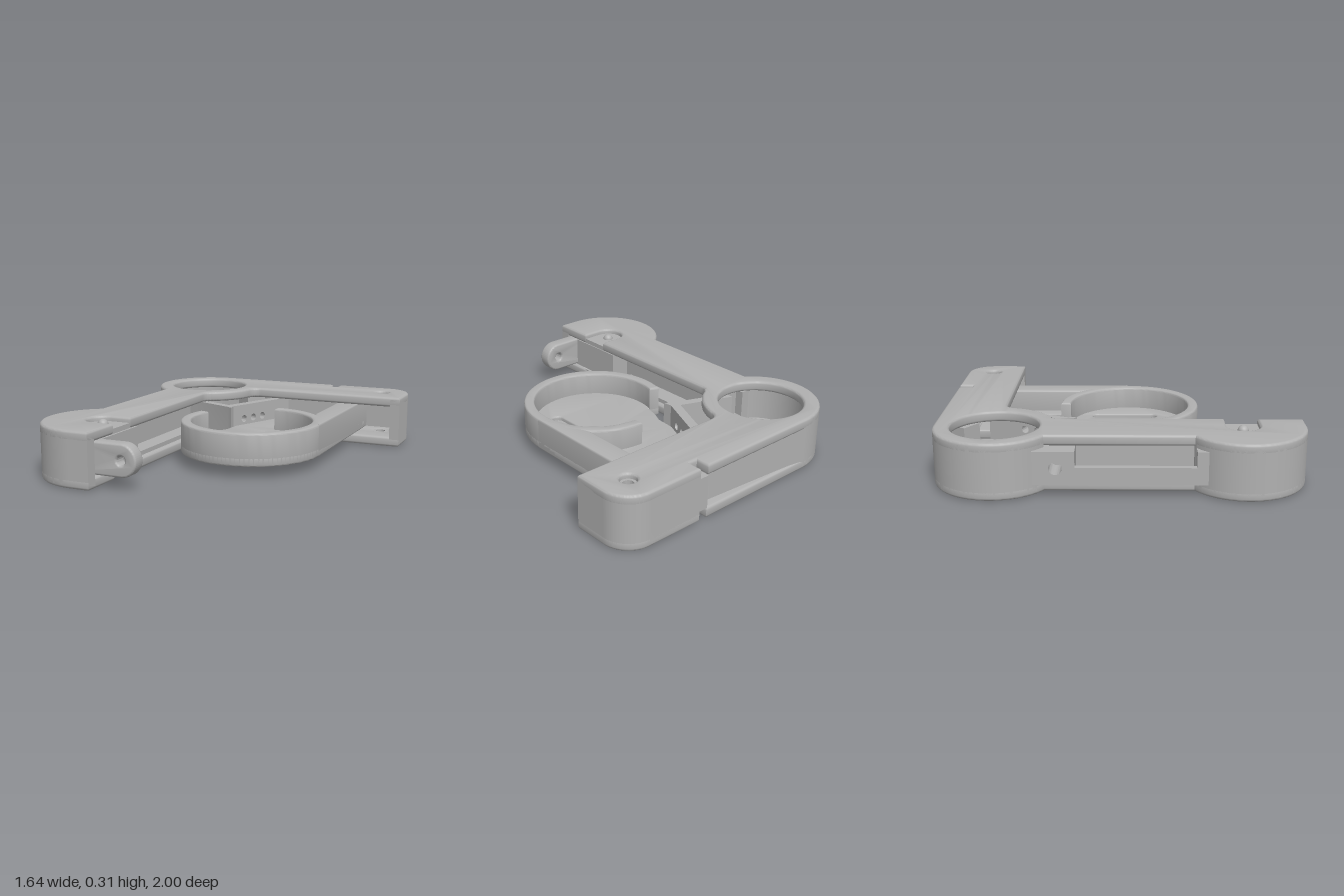
import * as THREE from 'three';
import { toCreasedNormals } from 'three/addons/utils/BufferGeometryUtils.js';

const PI = Math.PI;

export function createModel() {
  const model = new THREE.Group();
  const grey = new THREE.MeshStandardMaterial({ color: 0xb0b0b0 });
  grey.name = 'plain grey';

  const add = (name, geo, x = 0, y = 0, z = 0) => {
    const m = new THREE.Mesh(geo, grey);
    m.name = name;
    m.position.set(x, y, z);
    model.add(m);
    return m;
  };
  const extrude = (shape, depth, b) => toCreasedNormals(new THREE.ExtrudeGeometry(shape, {
    depth: depth - 2 * b, bevelEnabled: b > 0, bevelSize: b, bevelThickness: b,
    bevelOffset: -b, bevelSegments: 3, curveSegments: 40,
  }).translate(0, 0, b), 0.6);
  // Plan shapes are drawn in (x, -z) and raised from y0 to y1
  const slab = (name, shape, y0, y1, b = 0) =>
    add(name, extrude(shape, y1 - y0, b).rotateX(-PI / 2), 0, y0, 0);
  const box = (name, x0, x1, y0, y1, z0, z1) =>
    add(name, new THREE.BoxGeometry(x1 - x0, y1 - y0, z1 - z0), (x0 + x1) / 2, (y0 + y1) / 2, (z0 + z1) / 2);
  const poly = (pts) => new THREE.Shape(pts.map(([x, y]) => new THREE.Vector2(x, y)));
  const circle = (x, y, r) => new THREE.Path().absarc(x, y, r, 0, 2 * PI, false);
  const capsule = (x, y0, y1, r) => {
    const p = new THREE.Path();
    p.absarc(x, y1 - r, r, 0, PI, false);
    p.absarc(x, y0 + r, r, PI, 2 * PI, false);
    p.closePath();
    return p;
  };

  // Frame plates: L outline with ring, notch and pin recess
  const plate = new THREE.Shape();
  plate.moveTo(0.82, 0.65);
  plate.lineTo(0.82, 0.84);
  plate.absarc(0.66, 0.84, 0.16, 0, PI / 2, false);
  plate.lineTo(0.325, 1);
  plate.lineTo(0.325, 0.92);
  plate.lineTo(0.275, 0.92);
  plate.lineTo(0.275, 1);
  plate.absarc(-0.49, 0.67, 0.33, PI / 2, 4.135, false);
  plate.absarc(-0.49, -0.67, 0.33, 2.148, 1.5 * PI, false);
  plate.lineTo(-0.37, -1);
  plate.lineTo(-0.37, -0.75);
  plate.absarc(-0.49, -0.66, 0.09, -PI / 2, PI / 2, true);
  plate.lineTo(-0.37, -0.57);
  plate.lineTo(-0.37, 0.32);
  plate.quadraticCurveTo(-0.37, 0.36, -0.34, 0.376);
  plate.absarc(-0.49, 0.67, 0.33, -1.1, -0.2, false);
  plate.quadraticCurveTo(-0.15, 0.65, -0.1, 0.65);
  plate.closePath();
  plate.holes.push(circle(-0.49, 0.67, 0.24), circle(0.655, 0.835, 0.045));

  const washer = new THREE.Shape().absarc(0.655, 0.835, 0.055, 0, 2 * PI, false);
  washer.holes.push(circle(0.655, 0.835, 0.03));

  for (const [side, y0, y1, f0, f1, pinY] of [
    ['lower', 0, 0.06, 0.03, 0.058, 0.03],
    ['upper', 0.25, 0.31, 0.252, 0.28, 0.28],
  ]) {
    slab(side + 'FramePlate', plate, y0, y1, 0.015);
    slab(side + 'ScrewSeat', washer, f0, f1);
    box(side + 'RecessFloor', -0.595, -0.375, f0, f1, 0.56, 0.76);
    add(side + 'HingePin', new THREE.SphereGeometry(0.03, 24, 16), -0.49, pinY, 0.66);
  }

  // Frame walls between the plates
  const ringWall = new THREE.Shape();
  ringWall.moveTo(0.275, 1);
  ringWall.absarc(-0.49, 0.67, 0.33, PI / 2, 4.135, false);
  ringWall.absarc(-0.49, 0.67, 0.27, 4.135, PI / 2, true);
  ringWall.lineTo(0.275, 0.94);
  slab('ringWall', ringWall, 0.015, 0.295);

  const endWall = poly([[0.325, 1], [0.325, 0.94], [0.76, 0.94], [0.76, 0.65], [0.82, 0.65], [0.82, 0.84]]);
  endWall.absarc(0.66, 0.84, 0.16, 0, PI / 2, false);
  slab('endWall', endWall, 0.015, 0.295);
  box('notchWall', 0.27, 0.33, 0.06, 0.25, -1, -0.94);

  const footWall = new THREE.Shape();
  footWall.absarc(-0.49, -0.67, 0.33, 2.148, 1.5 * PI, false);
  footWall.lineTo(-0.37, -1);
  footWall.lineTo(-0.37, -0.935);
  footWall.lineTo(-0.61, -0.935);
  footWall.lineTo(-0.61, -0.393);
  slab('footWall', footWall, 0.015, 0.295);

  // Long arm folded into the leg: channel with a low outer lip
  box('longArmFloor', -0.75, -0.39, 0.065, 0.09, -0.44, 0.44);
  box('longArmSpine', -0.6, -0.5, 0.065, 0.245, -0.4, 0.6);
  box('longArmLip', -0.75, -0.715, 0.065, 0.16, -0.23, 0.4);
  box('longArmStop', -0.75, -0.58, 0.065, 0.245, 0.4, 0.46);
  const endPlate = poly([[0.23, 0.065], [0.45, 0.065], [0.45, 0.245], [0.23, 0.245]]);
  endPlate.holes.push(circle(0.33, 0.155, 0.035));
  const armEnd = add('longArmEnd', extrude(endPlate, 0.16, 0), -0.59, 0, 0);
  armEnd.rotation.y = -PI / 2;
  // Turned so the plate lies along -z and is thick towards -x
  armEnd.geometry.scale(-1, 1, 1).rotateY(0);
  const idx = armEnd.geometry.attributes;
  for (const key of ['position', 'normal']) {
    const a = idx[key];
    for (let i = 0; i < a.count; i += 3) {
      const p = new THREE.Vector3().fromBufferAttribute(a, i);
      const q = new THREE.Vector3().fromBufferAttribute(a, i + 2);
      a.setXYZ(i, q.x, q.y, q.z);
      a.setXYZ(i + 2, p.x, p.y, p.z);
    }
  }

  // Hinged clip at the foot with a rounded, drilled tab
  box('clipBody', -0.6, -0.38, 0.065, 0.245, 0.48, 0.9);
  const tab = poly([[-0.5, 0.25], [-0.5, 0.07]]);
  tab.absarc(-0.22, 0.16, 0.09, -PI / 2, PI / 2, false);
  tab.holes.push(circle(-0.22, 0.16, 0.025));
  add('clipTab', extrude(tab, 0.08, 0.012), 0, 0, 0.85);

  // Cup arm: slotted floor, open rim and solid side bar
  const floor = poly([[0, 0.85], [0.54, 0.85], [0.54, -0.05]]);
  floor.absarc(0.13, -0.05, 0.41, 0, 2.82, true);
  floor.lineTo(-0.2, 0.06);
  floor.quadraticCurveTo(-0.19, 0.13, -0.15, 0.2);
  floor.lineTo(-0.14, 0.32);
  floor.lineTo(0, 0.65);
  floor.holes.push(capsule(0.3, 0.355, 0.565, 0.035), capsule(0.3, -0.22, 0.175, 0.035));
  slab('cupFloor', floor, 0.065, 0.12, 0.01);
  box('slotStep', 0.25, 0.35, 0.075, 0.095, 0.01, 0.24);

  const rim = new THREE.Shape();
  rim.absarc(0.13, -0.05, 0.41, 2.82, 2.5 * PI, false);
  rim.absarc(0.13, -0.05, 0.35, 2.5 * PI, 2.82, true);
  rim.closePath();
  slab('cupRim', rim, 0.065, 0.25, 0.012);
  slab('cupSideBar', poly([[0.54, -0.05], [0.54, 0.9], [0.41, 0.9], [0.41, 0.255], [0.5, 0]]), 0.065, 0.25, 0.012);

  // Bent link wall from the ring to the cup arm
  slab('linkWall', poly([[-0.5, 0.45], [-0.2, 0.335], [-0.15, 0.33], [-0.14, 0.25], [-0.17, 0.27], [-0.5, 0.4]]), 0.065, 0.245);
  slab('linkKnuckle', poly([[-0.36, 0.86], [-0.26, 0.79], [-0.18, 0.9], [-0.3, 0.94]]), 0.065, 0.245);
  const panel = poly([[0, 0], [0.5, 0], [0.5, 0.18], [0, 0.18]]);
  for (const x of [0.1, 0.18, 0.26]) panel.holes.push(circle(x, 0.09, 0.022));
  add('drilledPanel', extrude(panel, 0.055, 0), -0.2, 0.065, -0.315).rotation.y = 1.162;

  return model;
}
